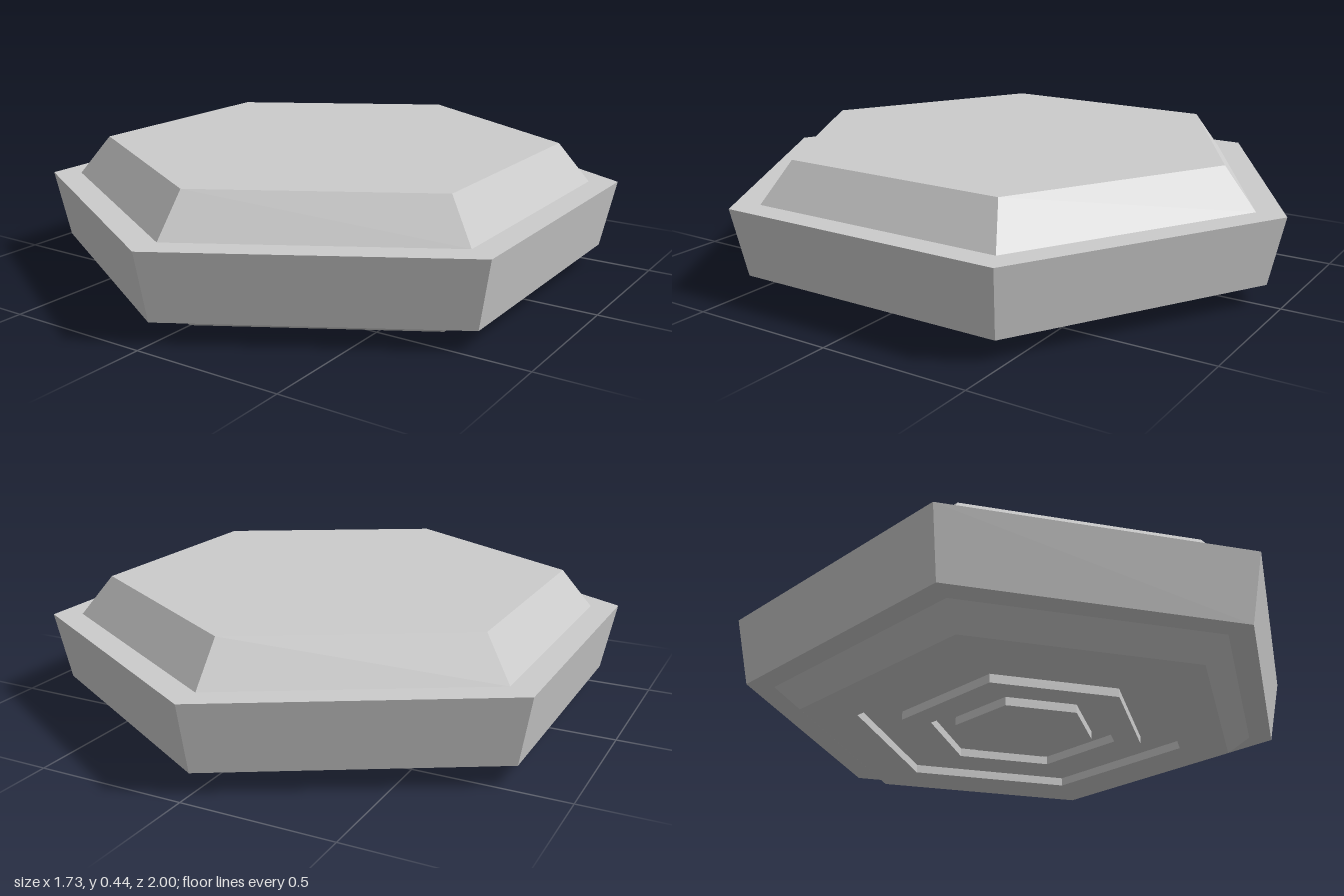
import * as THREE from 'three';

const material = new THREE.MeshStandardMaterial({ color: 0xcccccc, flatShading: true });

// Six-sided ring or plate from a profile of [corner radius, height], listed bottom to top
function hexPart(name, profile) {
  const points = profile.map(([r, y]) => new THREE.Vector2(r, y));
  const geometry = new THREE.LatheGeometry(points, 6).toNonIndexed();
  geometry.computeVertexNormals();
  const mesh = new THREE.Mesh(geometry, material);
  mesh.name = name;
  return mesh;
}

// Profile of a square groove cut into the underside
const groove = (inner, outer, depth) => [[inner, 0], [inner, depth], [outer, depth], [outer, 0]];

export function createModel() {
  const model = new THREE.Group();
  model.name = 'hexagonalPlate';

  // Chamfered foot with two concentric grooves underneath
  model.add(hexPart('groovedFoot', [
    [0, 0],
    ...groove(0.245, 0.33, 0.03),
    ...groove(0.43, 0.58, 0.03),
    [0.77, 0], [0.86, 0.07],
  ]));

  // Wide flared body with its lower and upper ledges
  model.add(hexPart('flaredBody', [[0.86, 0.07], [0.95, 0.07], [1, 0.3], [0.9, 0.3]]));

  // Bevelled top
  model.add(hexPart('bevelledTop', [[0.9, 0.3], [0.79, 0.435], [0, 0.435]]));

  return model;
}
